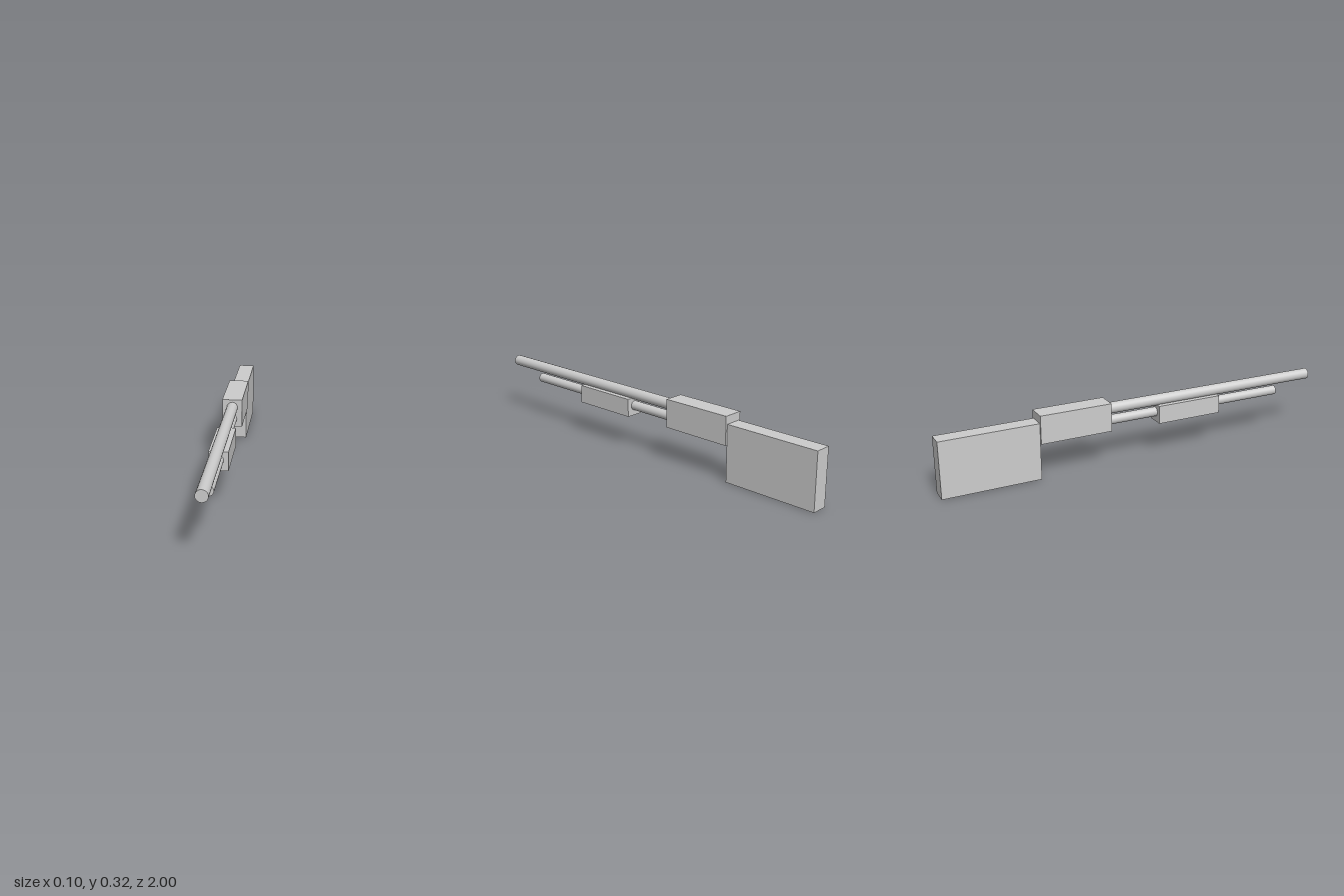
import * as THREE from 'three';

export function createModel() {
  const model = new THREE.Group();
  const grey = new THREE.MeshStandardMaterial({ color: 0xcccccc });
  grey.name = 'light grey';

  function add(name, geometry, y, z0, z1) {
    const mesh = new THREE.Mesh(geometry, grey);
    mesh.name = name;
    mesh.position.set(0, y, (z0 + z1) / 2);
    model.add(mesh);
  }

  // Block spanning y0..y1 and z0..z1
  const block = (name, width, y0, y1, z0, z1) =>
    add(name, new THREE.BoxGeometry(width, y1 - y0, z1 - z0), (y0 + y1) / 2, z0, z1);

  // Round rod lying along z
  const rod = (name, radius, y, z0, z1) =>
    add(name, new THREE.CylinderGeometry(radius, radius, z1 - z0, 24).rotateX(Math.PI / 2), y, z0, z1);

  block('stock', 0.08, 0, 0.28, -1, -0.52);
  block('receiver', 0.1, 0.18, 0.32, -0.52, -0.16);
  block('foreEnd', 0.09, 0.17, 0.26, 0.1, 0.44);
  rod('barrel', 0.0275, 0.28, -0.16, 1);
  rod('magazineTube', 0.0235, 0.22, -0.16, 0.8);

  return model;
}
